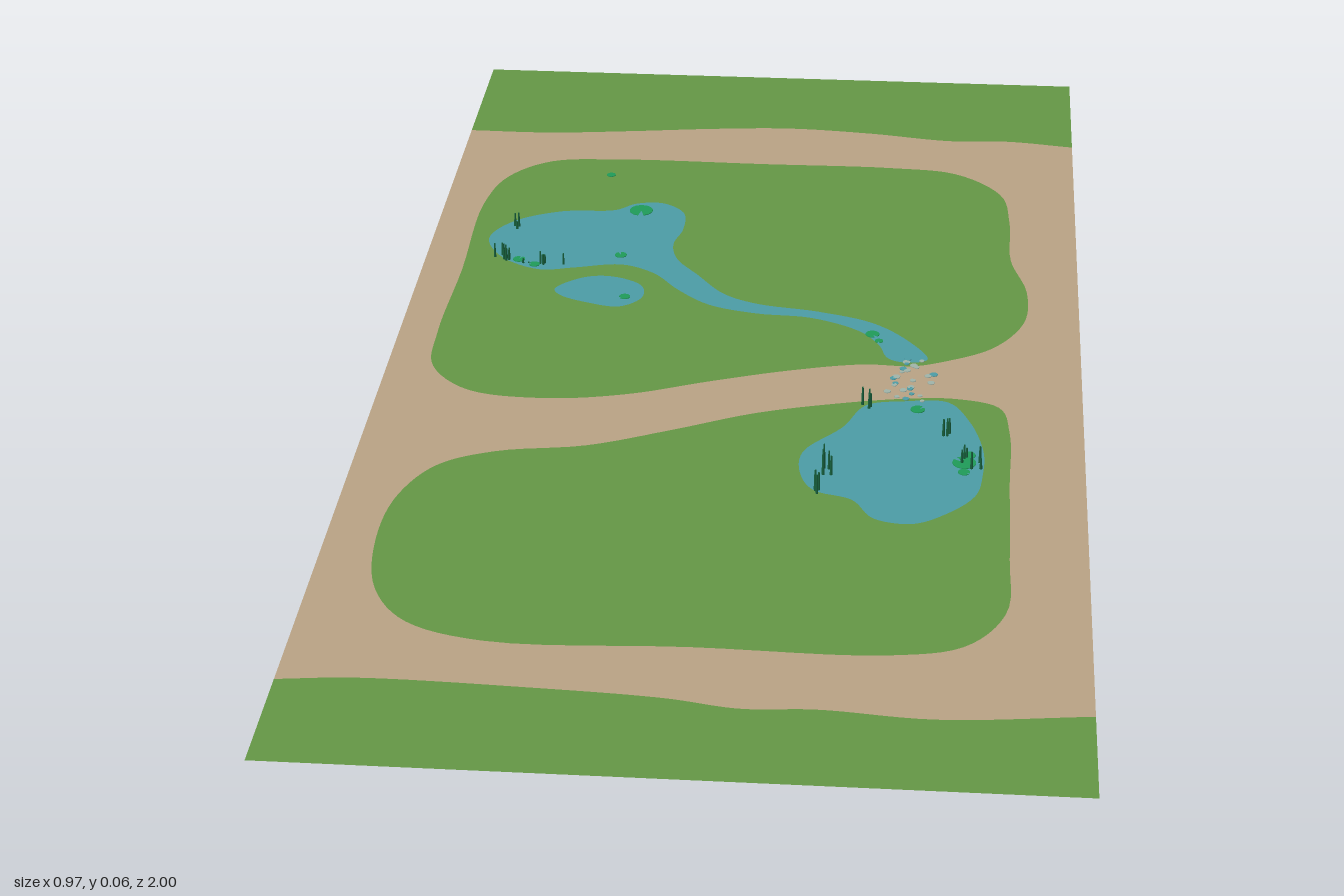
import * as THREE from 'three';

const GROUND = 0.0225, W = 0.485;
const mat = (name, color) => {
  const m = new THREE.MeshStandardMaterial({ color, side: THREE.DoubleSide });
  m.name = name;
  return m;
};

// smooth outline through [x, z] points given in hundredths
function curve(pts, closed) {
  const c = new THREE.CatmullRomCurve3(pts.map(([x, z]) => new THREE.Vector3(x / 100, -z / 100, 0)), closed);
  const out = c.getPoints(pts.length * 6).map(p => new THREE.Vector2(p.x, p.y));
  if (closed) out.pop();
  return out;
}

export function createModel() {
  const model = new THREE.Group();
  model.name = 'parkPlot';
  const grass = mat('grass green', 0x649645), sand = mat('path sand', 0xb8a284);
  const water = mat('pond water', 0x4c9ba5), reed = mat('reed green', 0x17613d);
  const pad = mat('lily green', 0x1f9a58), stone = mat('pale stone', 0x9fb3a8);
  let seed = 7;
  const rnd = () => (seed = (seed * 16807) % 2147483647) / 2147483647;

  const add = (name, geo, m, parent = model) => {
    const mesh = new THREE.Mesh(geo, m);
    mesh.name = name;
    parent.add(mesh);
    return mesh;
  };
  // flat ground patch, optionally with openings for the patches lying in it
  const patch = (name, outline, m, holes = []) => {
    const s = new THREE.Shape(outline);
    s.holes = holes.map(h => new THREE.Path(h));
    add(name, new THREE.ShapeGeometry(s).rotateX(-Math.PI / 2), m).position.y = GROUND;
  };

  // outer edges of the path
  const backEdge = curve([[-48.5, -75], [-36, -75], [-23, -76.5], [-9, -78.5], [3, -79.5], [16, -78.5],
    [29, -76.5], [38, -77], [48.5, -75.5]], false);
  const frontEdge = curve([[-48.5, 83.5], [-39, 82.5], [-18, 83], [-2, 84], [7, 85.5], [16, 85],
    [30, 86], [48.5, 84]], false);

  // lawns
  const backLawn = curve([[41, -24], [40.5, -14], [36, -6], [29, -1.5], [25, 0], [18, 0], [8, 2.5], [-3, 6.5],
    [-14, 11], [-25, 13], [-36, 11.5], [-42, 5], [-43, -5], [-42.5, -25], [-42.5, -48], [-40, -58],
    [-34, -64], [-24, -65.5], [0, -65.5], [20, -65.5], [30, -64], [37, -57], [38.5, -47], [38.7, -34]], true);
  const frontLawn = curve([[38.5, 18], [37, 11], [31, 9], [24, 9.5], [15, 11.5], [4, 15], [-7, 20.5], [-18, 25.5],
    [-30, 28], [-37, 32], [-41, 40], [-42, 51], [-40, 63], [-35, 70], [-25, 73.5], [0, 73], [24, 73],
    [33, 70.5], [38, 63], [38.5, 50], [38.5, 32]], true);

  // water
  const upperPond = curve([[-40, -36], [-37, -42], [-30, -46], [-22, -47], [-19, -49.5], [-15, -50], [-11.5, -47],
    [-11, -41], [-12, -36], [-11, -31], [-7.5, -26], [-3, -20], [2, -17.3], [11, -15.5], [19, -12.5],
    [24.5, -7], [27, -2], [24, -1], [21.5, -2], [20, -6], [17, -10], [10, -13.5], [2, -14.3],
    [-5, -16.5], [-10, -21], [-14, -26], [-19, -28.5], [-26, -27], [-31, -26], [-37, -29.5]], true);
  const smallPond = curve([[-28, -20], [-24, -24], [-20, -24.5], [-15.5, -22], [-15, -18], [-18, -15],
    [-23, -16], [-27, -18]], true);
  const lowerPond = curve([[19, 11.6], [16, 18], [11, 25], [11, 31], [13, 35], [18, 37], [21, 41.5], [26, 42.5],
    [30, 40], [34, 35], [35, 29], [35, 23], [33, 15], [30, 10], [24, 10.2]], true);

  const corner = (x, z) => new THREE.Vector2(x, -z);
  patch('backGrassStrip', [corner(W, -1), corner(-W, -1), ...backEdge], grass);
  patch('frontGrassStrip', [corner(W, 1), corner(-W, 1), ...frontEdge], grass);
  patch('sandPath', [...backEdge, ...frontEdge.slice().reverse()], sand, [backLawn, frontLawn]);
  patch('backLawn', backLawn, grass, [upperPond, smallPond]);
  patch('frontLawn', frontLawn, grass, [lowerPond]);
  patch('pondAndStream', upperPond, water);
  patch('smallPond', smallPond, water);
  patch('lowerPond', lowerPond, water);

  // lily pads: x, z, radius
  const padGeo = new THREE.CylinderGeometry(1, 1, 1, 12, 1, false, 0.3, 5.8);
  [[-.18, -.47, .018], [-.24, -.595, .007], [-.195, -.315, .009], [-.175, -.18, .008], [.19, -.09, .01],
    [.26, .125, .01], [.325, .265, .016], [.33, .245, .01], [.325, .29, .008], [-.345, -.29, .009],
    [-.32, -.275, .008], [.2, -.07, .006]].forEach(([x, z, r], i) => {
    const p = add('lilyPad', padGeo, pad);
    p.position.set(x, GROUND + 0.001, z);
    p.rotation.y = i * 1.7;
    p.scale.set(r, 0.001, r);
  });

  // reed clumps: x, z, bottom, top, number of blades
  const bladeGeo = new THREE.CylinderGeometry(0.0012, 0.0022, 1, 5);
  [[-.375, -.305, .018, .045, 4], [-.362, -.29, .004, .048, 5], [-.365, -.4, .02, .045, 3],
    [-.305, -.275, .0, .043, 5], [-.335, -.28, .018, .03, 2], [-.277, -.28, 0, .04, 1],
    [.13, .35, .01, .054, 4], [.145, .3, .012, .06, 5], [.19, .125, .016, .05, 4],
    [.303, .185, .018, .049, 4], [.328, .26, .016, .045, 3], [.34, .27, .018, .048, 3]].forEach(([x, z, lo, hi, n]) => {
    const clump = new THREE.Group();
    clump.name = 'reedClump';
    clump.position.set(x, 0, z);
    for (let i = 0; i < n; i++) {
      const top = hi - (i ? rnd() * 0.01 : 0), bottom = lo + (i ? rnd() * 0.006 : 0);
      const b = add('reedBlade', bladeGeo, reed, clump);
      b.scale.y = top - bottom;
      const spread = n > 1 ? 0.014 : 0;
      b.position.set((rnd() - 0.5) * spread, (top + bottom) / 2, (rnd() - 0.5) * spread * 1.4);
    }
    model.add(clump);
  });

  // stepping stones across the path
  const stoneGeo = new THREE.CylinderGeometry(1, 1, 1, 7);
  for (let i = 0; i < 26; i++) {
    const s = add('steppingStone', stoneGeo, i % 3 ? stone : water);
    const r = 0.003 + rnd() * 0.003;
    s.position.set(0.215 + rnd() * 0.065, GROUND + 0.0005, -0.02 + i * 0.0048);
    s.scale.set(r, 0.001, r);
  }
  return model;
}
